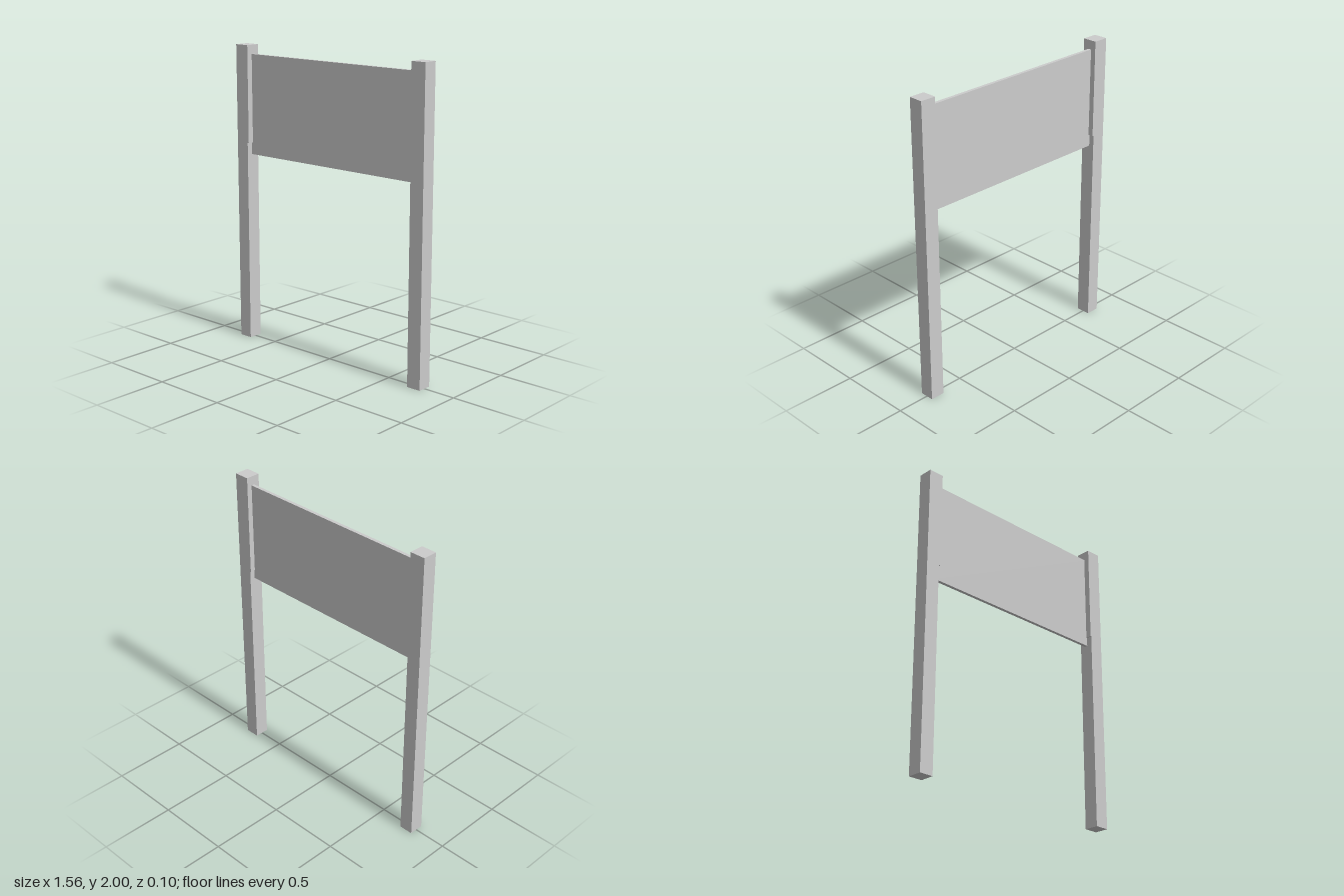
import * as THREE from 'three';

const material = new THREE.MeshStandardMaterial({ color: 0xcccccc, flatShading: true });
const HEIGHT = 2;
const DEPTH = 0.096;

// Square post, slightly wider on its inner side above stepY
function makePost(name, outerX, lowerInnerX, upperInnerX, stepY) {
  const profile = new THREE.Shape([
    new THREE.Vector2(outerX, 0),
    new THREE.Vector2(lowerInnerX, 0),
    new THREE.Vector2(lowerInnerX, stepY),
    new THREE.Vector2(upperInnerX, stepY),
    new THREE.Vector2(upperInnerX, HEIGHT),
    new THREE.Vector2(outerX, HEIGHT),
  ]);
  const geometry = new THREE.ExtrudeGeometry(profile, { depth: DEPTH, bevelEnabled: false });
  geometry.translate(0, 0, -DEPTH / 2);
  const post = new THREE.Mesh(geometry, material);
  post.name = name;
  return post;
}

export function createModel() {
  const model = new THREE.Group();
  model.name = 'signBoard';

  // Two uprights
  model.add(makePost('rightPost', -0.78, -0.687, -0.677, 1.355));
  model.add(makePost('leftPost', 0.78, 0.683, 0.677, 1.335));

  // Thin board held between the posts
  const bottom = 1.275, top = 1.94;
  const panel = new THREE.Mesh(new THREE.BoxGeometry(1.37, top - bottom, 0.022), material);
  panel.name = 'panel';
  panel.position.set(-0.002, (top + bottom) / 2, -0.002);
  model.add(panel);

  return model;
}
